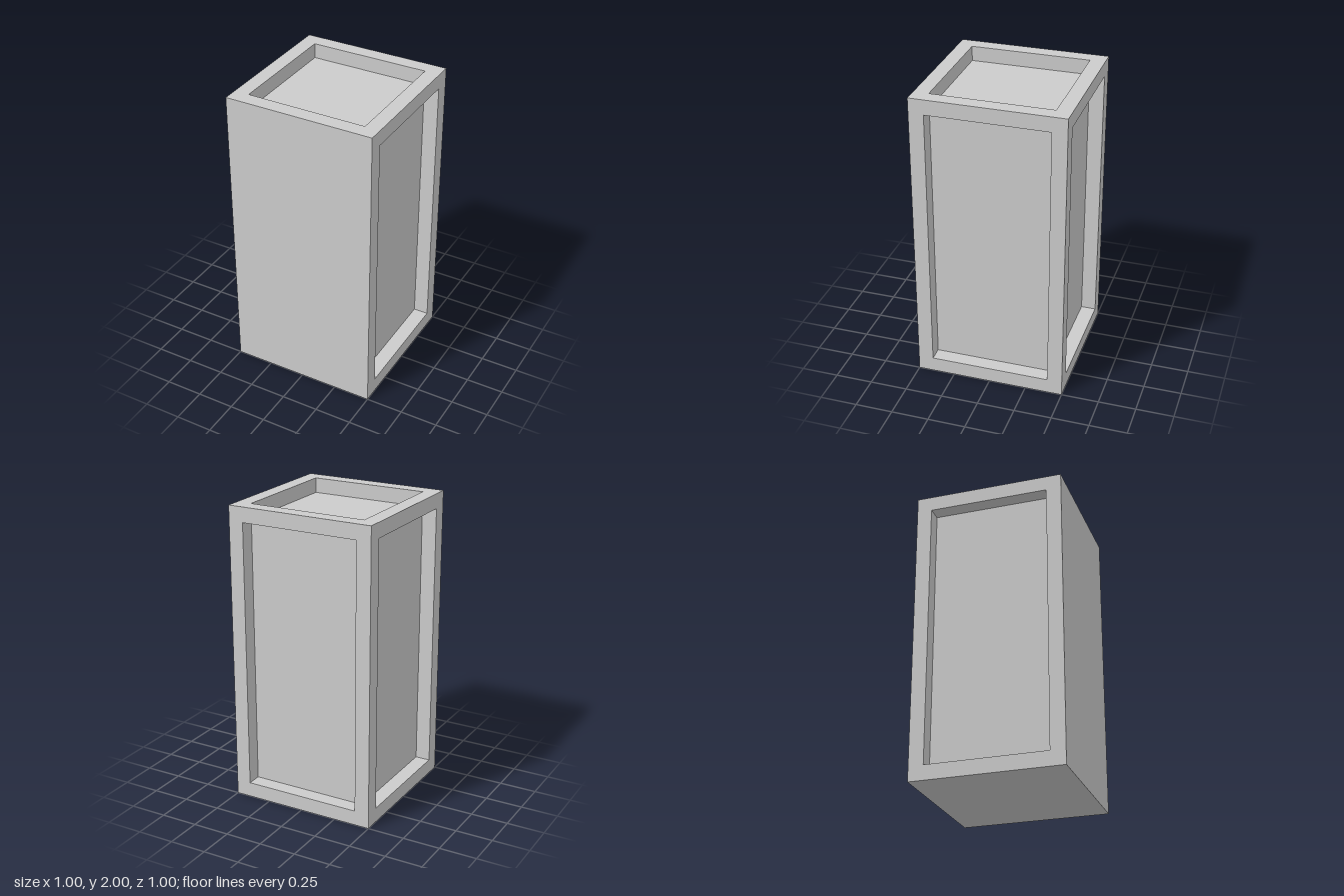
import * as THREE from 'three';

const W = 1, H = 2, T = 0.1; // width and depth, height, frame thickness

export function createModel() {
  const model = new THREE.Group();
  model.name = 'panelledBlock';
  const material = new THREE.MeshStandardMaterial({ color: 0xcccccc, flatShading: true });

  const box = (name, [w, h, d], [x, y, z]) => {
    const mesh = new THREE.Mesh(new THREE.BoxGeometry(w, h, d), material);
    mesh.name = name;
    mesh.position.set(x, y, z);
    model.add(mesh);
  };

  const inner = W - 2 * T;    // opening width inside the frame
  const edge = (W - T) / 2;   // centre line of the frame members
  const topY = H - T / 2;

  // Core: its faces are the sunken panels on the top, back and both sides
  box('core', [inner, H - 2 * T, inner], [0, H / 2, 0]);

  // Plain front and underside
  box('frontPanel', [W, H, T], [0, H / 2, edge]);
  box('base', [W, T, W - T], [0, T / 2, -T / 2]);

  // Frame around the sunken panels
  for (const [side, s] of [['left', 1], ['right', -1]]) {
    box(side + 'BackPost', [T, H - T, T], [s * edge, (H + T) / 2, -edge]);
    box(side + 'TopRail', [T, T, inner], [s * edge, topY, 0]);
  }
  box('backTopRail', [inner, T, T], [0, topY, -edge]);

  return model;
}
